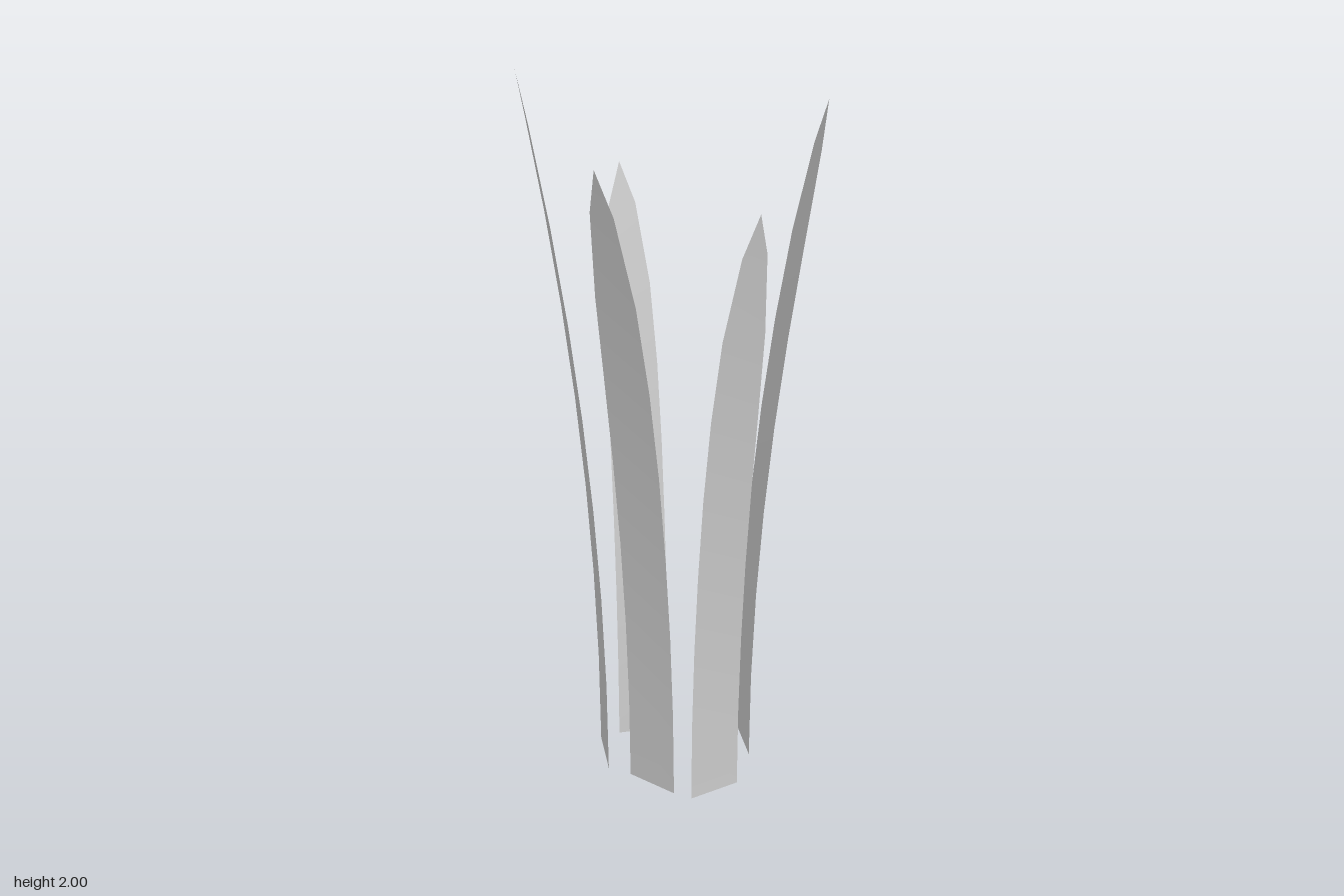
import * as THREE from 'three';

// Height fraction and width fraction of each row of a blade, base to tip
const ROWS = [
  [0, 1], [0.133, 1], [0.267, 1], [0.4, 1], [0.533, 1],
  [0.667, 0.97], [0.8, 0.86], [0.933, 0.5], [1, 0],
];

// Each blade: the two ends of its base edge and its tip
const BLADES = [
  { name: 'frontBlade', a: [-0.052, 0.16], b: [0.11, 0.16], tip: [0.03, 1.82, 0.365] },
  { name: 'leftBlade', a: [0.165, 0.15], b: [0.205, 0], tip: [0.37, 1.72, 0.13] },
  { name: 'backBlade', a: [0.13, -0.145], b: [0, -0.25], tip: [0.2, 1.89, -0.36] },
  { name: 'rightBackBlade', a: [-0.15, -0.115], b: [-0.235, 0.005], tip: [-0.37, 1.66, -0.167] },
  { name: 'rightFrontBlade', a: [-0.255, 0.062], b: [-0.12, 0.177], tip: [-0.325, 2, 0.273] },
];

// A flat strip that leans outward with the square of its height and narrows to a point
function bladeGeometry({ a, b, tip }) {
  const cx = (a[0] + b[0]) / 2, cz = (a[1] + b[1]) / 2;
  const hx = (b[0] - a[0]) / 2, hz = (b[1] - a[1]) / 2;
  const positions = [], index = [];
  ROWS.forEach(([t, w], i) => {
    const x = cx + (tip[0] - cx) * t * t;
    const z = cz + (tip[2] - cz) * t * t;
    const y = tip[1] * t;
    if (w === 0) positions.push(x, y, z);
    else positions.push(x - hx * w, y, z - hz * w, x + hx * w, y, z + hz * w);
    if (i === 0) return;
    const k = (i - 1) * 2;
    index.push(k, k + 1, k + 2);
    if (w > 0) index.push(k + 1, k + 3, k + 2);
  });
  const geometry = new THREE.BufferGeometry();
  geometry.setAttribute('position', new THREE.Float32BufferAttribute(positions, 3));
  geometry.setIndex(index);
  geometry.computeVertexNormals();
  return geometry;
}

export function createModel() {
  const group = new THREE.Group();
  group.name = 'grassTuft';
  const material = new THREE.MeshStandardMaterial({ color: 0xcccccc, side: THREE.DoubleSide });
  for (const blade of BLADES) {
    const mesh = new THREE.Mesh(bladeGeometry(blade), material);
    mesh.name = blade.name;
    group.add(mesh);
  }
  return group;
}
